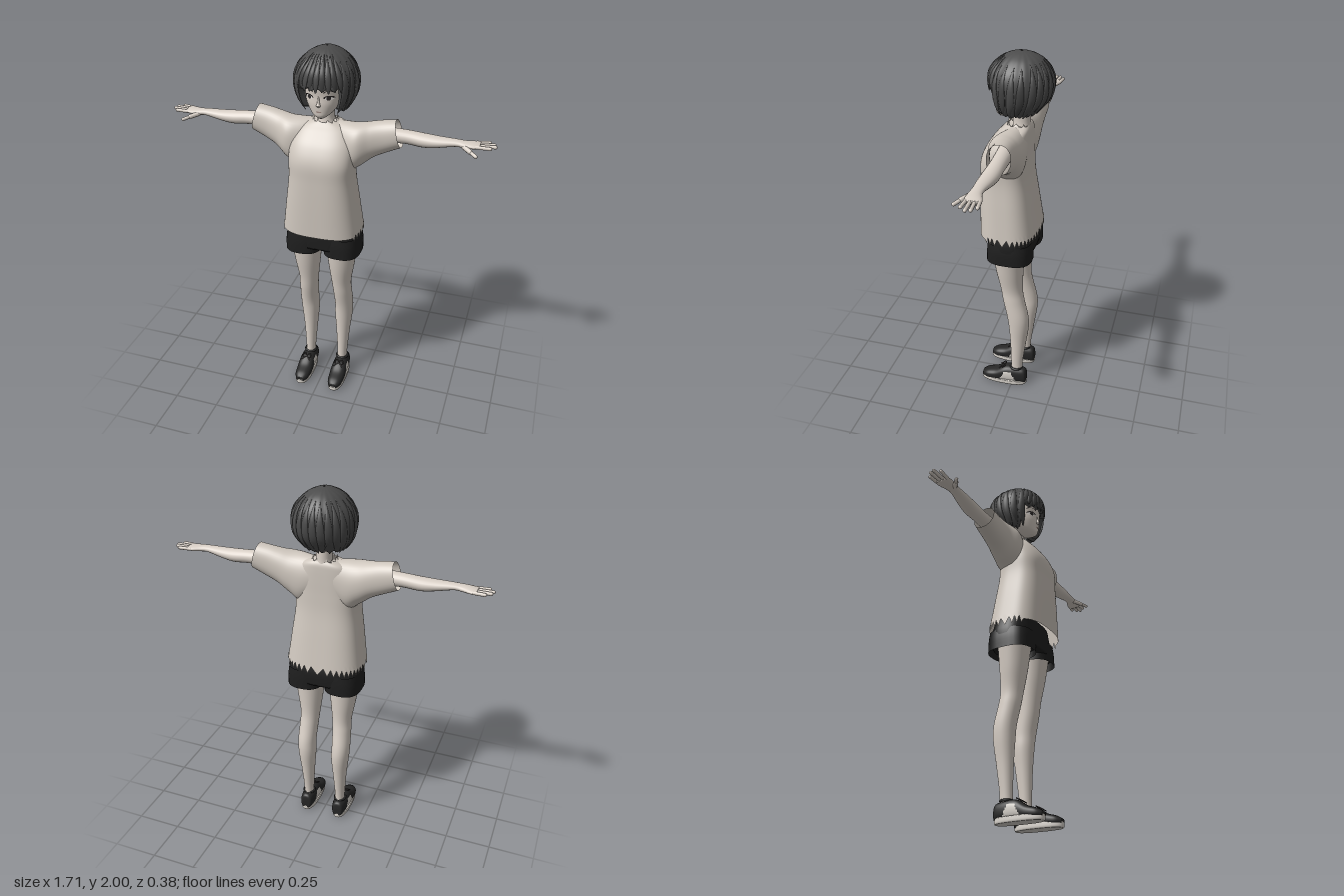
import * as THREE from 'three';

const material = (name, color, side = THREE.FrontSide) => {
  const m = new THREE.MeshStandardMaterial({ color, side });
  m.name = name;
  return m;
};

// Surface closed in u, from f(u, v, i) -> [x, y, z]; pick(x, y, z) chooses a material group
function grid(f, nu, nv, pick) {
  const pos = [], lists = [[], []];
  for (let j = 0; j <= nv; j++) for (let i = 0; i < nu; i++) pos.push(...f(i / nu, j / nv, i));
  for (let j = 0; j < nv; j++) for (let i = 0; i < nu; i++) {
    const k = (i + 1) % nu;
    const a = j * nu + i, b = a + nu, c = (j + 1) * nu + k, d = j * nu + k;
    const mid = [0, 1, 2].map(q => (pos[a * 3 + q] + pos[c * 3 + q]) / 2);
    lists[pick ? pick(...mid) : 0].push(a, b, c, a, c, d);
  }
  const g = new THREE.BufferGeometry();
  g.setAttribute('position', new THREE.Float32BufferAttribute(pos, 3));
  g.setIndex([...lists[0], ...lists[1]]);
  if (pick) {
    g.addGroup(0, lists[0].length, 0);
    g.addGroup(lists[0].length, lists[1].length, 1);
  }
  g.computeVertexNormals();
  return g;
}

// Smooth interpolation between cross-sections [t, u0, u1, w0, w1]
function section(rings, v) {
  const s = v * (rings.length - 1), i = Math.min(Math.floor(s), rings.length - 2), f = s - i;
  const r = k => rings[Math.max(0, Math.min(rings.length - 1, i + k))];
  return r(0).map((b, c) => {
    const a = r(-1)[c], d = r(1)[c], e = r(2)[c];
    return b + 0.5 * f * (d - a + f * (2 * a - 5 * b + 4 * d - e + f * (3 * (b - d) + e - a)));
  });
}
function findV(rings, t) {
  let lo = 0, hi = 1;
  for (let k = 0; k < 24; k++) {
    const m = (lo + hi) / 2;
    if (section(rings, m)[0] < t) lo = m; else hi = m;
  }
  return lo;
}
const power = (c, n) => Math.sign(c) * Math.abs(c) ** (2 / n);

// Loft of rounded cross-sections along an axis
function loft(rings, { axis = 'y', n = 2, nu = 32, nv = 32, cap = false, tweak, pick } = {}) {
  const e = cap ? 1 : 0, rows = nv + 2 * e;
  return grid((u, w, i) => {
    const row = Math.round(w * rows) - e, v = Math.max(0, Math.min(1, row / nv));
    const k = row < 0 || row > nv ? 0 : 1;
    const [t, u0, u1, w0, w1] = section(rings, v), a = u * Math.PI * 2;
    const p = (u0 + u1) / 2 + k * (u1 - u0) / 2 * power(Math.cos(a), n);
    const q = (w0 + w1) / 2 + k * (w1 - w0) / 2 * power(Math.sin(a), n);
    const out = axis === 'y' ? [p, t, q] : axis === 'x' ? [t, q, p] : [q, p, t];
    if (tweak) tweak(out, v, i);
    return out;
  }, nu, rows, pick);
}

function mirror(geo) {
  const g = geo.clone().scale(-1, 1, 1), ix = g.index.array;
  for (let i = 0; i < ix.length; i += 3) [ix[i], ix[i + 1]] = [ix[i + 1], ix[i]];
  return g;
}

function capsule(a, b, r) {
  const p = new THREE.Vector3(...a), q = new THREE.Vector3(...b), d = q.clone().sub(p);
  const g = new THREE.CapsuleGeometry(r, d.length(), 5, 10);
  g.applyQuaternion(new THREE.Quaternion().setFromUnitVectors(new THREE.Vector3(0, 1, 0), d.normalize()));
  return g.translate(...p.add(q).multiplyScalar(0.5).toArray());
}

export function createModel() {
  const model = new THREE.Group();
  model.name = 'girl';
  const skin = material('skin', 0xd8cfc6), cloth = material('shirt cloth', 0xcfc7be, THREE.DoubleSide);
  const black = material('shorts black', 0x1e1e1e, THREE.DoubleSide), shoe = material('shoe black', 0x262626);
  const sole = material('shoe white', 0xd6d1ca), hair = material('hair', 0x4c4c4c, THREE.DoubleSide);
  const strand = material('hair strands', 0x424242), ink = material('eye dark', 0x2e2a2a);
  const white = material('eye white', 0xe6e2de), lip = material('lips', 0xa8918a);
  const add = (name, geo, mat) => {
    const m = new THREE.Mesh(geo, mat);
    m.name = name;
    model.add(m);
  };
  const pair = (name, geo, mat) => {
    add('left ' + name, geo, mat);
    add('right ' + name, mirror(geo), mat);
  };

  // Head and neck
  const head = [[1.662, -.016, .016, .05, .088], [1.678, -.04, .04, .01, .103], [1.7, -.062, .062, -.03, .107],
    [1.74, -.086, .086, -.08, .111], [1.78, -.096, .096, -.11, .11], [1.84, -.1, .1, -.125, .115],
    [1.91, -.09, .09, -.11, .09], [1.95, -.04, .04, -.06, .03]];
  add('head', loft(head, { n: 2.15, nu: 40, nv: 40, cap: true }), skin);
  add('neck', loft([[1.54, -.07, .07, -.07, .03], [1.6, -.05, .05, -.073, .022], [1.64, -.04, .04, -.07, .016],
    [1.72, -.042, .042, -.07, .02]]), skin);
  add('nose', loft([[1.728, -.006, .006, .1, .112], [1.738, -.011, .011, .1, .126], [1.75, -.007, .007, .1, .12],
    [1.785, -.004, .004, .1, .11]], { cap: true, nu: 16, nv: 12 }), skin);

  // Face details laid on the face surface
  const onFace = (geo, x, y, off) => {
    const g = geo.translate(x, y, 0), p = g.attributes.position;
    for (let i = 0; i < p.count; i++) {
      const [, x0, x1, z0, z1] = section(head, findV(head, p.getY(i)));
      const s = Math.min(1, Math.abs(2 * p.getX(i) / (x1 - x0)));
      p.setZ(i, (z0 + z1) / 2 + (z1 - z0) / 2 * (1 - s ** 2.15) ** (1 / 2.15) + off);
    }
    g.computeVertexNormals();
    return g;
  };
  const disc = (w, h) => new THREE.CircleGeometry(1, 24).scale(w, h, 1);
  const arc = (w, h, inner) => new THREE.RingGeometry(inner, 1, 20, 1, 0.15, Math.PI - 0.3).scale(w, h, 1);
  pair('eye white', onFace(disc(.022, .011), .05, 1.777, .003), white);
  pair('iris', onFace(disc(.01, .011), .049, 1.777, .005), ink);
  pair('upper lash', onFace(arc(.026, .016, .7), .05, 1.775, .006), ink);
  pair('eyebrow', onFace(arc(.027, .012, .75), .05, 1.803, .004), ink);
  add('mouth', onFace(disc(.015, .0035), 0, 1.704, .004), lip);

  // Hair shell: long at sides and back, cut short over the face
  const bob = [[1.67, -.09, .09, -.085, .08], [1.72, -.13, .13, -.13, .11], [1.78, -.154, .154, -.172, .13],
    [1.85, -.158, .158, -.184, .139], [1.91, -.139, .139, -.17, .125], [1.96, -.094, .094, -.13, .08],
    [1.987, -.045, .045, -.08, .03], [1.997, -.004, .004, -.03, -.02]];
  const hairPoint = (a, v, off = 0, k = 1) => {
    const [y, x0, x1, z0, z1] = section(bob, v);
    return [k * ((x1 - x0) / 2 + off) * Math.cos(a), y, (z0 + z1) / 2 + k * ((z1 - z0) / 2 + off) * Math.sin(a)];
  };
  const fromFront = a => Math.abs(Math.atan2(Math.sin(a - Math.PI / 2), Math.cos(a - Math.PI / 2)));
  const hem = a => 1.825 - .125 * THREE.MathUtils.smoothstep(fromFront(a), .74, 1.0)
    + .014 * Math.abs(Math.sin(a * 9)) - .01;
  add('hair', grid((u, v) => {
    const a = u * Math.PI * 2, v0 = findV(bob, hem(a));
    if (v < .1) return hairPoint(a, v0, 0, .6 + 4 * v);
    const w = (v - .1) / .9;
    return hairPoint(a, v0 + (1 - v0) * w, .003 * Math.cos(a * 18) * (1 - w));
  }, 120, 40), hair);

  // Tapered locks lying over the shell
  const lock = (a0, width, top, tip, sway) => grid((u, v) => {
    const v0 = findV(bob, tip), v1 = findV(bob, top), t = u * Math.PI * 2;
    const w = width * Math.sin(Math.PI * Math.min(1, .02 + v * .96) ** .7);
    const a = a0 + sway * (1 - v) ** 2 + w * Math.sin(t);
    return hairPoint(a, v0 + (v1 - v0) * v, .001 + .007 * Math.cos(t) * Math.sin(Math.PI * (.05 + .9 * v)));
  }, 10, 14);
  for (let k = -4; k <= 4; k++)
    add('bang lock', lock(Math.PI / 2 + k * .17, .1, 1.975, 1.808 + .006 * (k & 1), k * .03 + .04), k & 1 ? strand : hair);
  for (let k = 0; k < 4; k++)
    pair('side lock', lock(.66 - k * .3, .13, 1.95, 1.69 + .008 * (k & 1), .06), k & 1 ? strand : hair);
  for (let k = -4; k <= 4; k++)
    add('back lock', lock(-Math.PI / 2 + k * .24, .13, 1.96, 1.685 + .01 * (k & 1), k * .02), hair);

  // Loose shirt with torn hem and collar
  add('shirt body', loft([[1.03, -.212, .212, -.133, .18], [1.2, -.19, .19, -.108, .18], [1.34, -.172, .172, -.088, .178],
    [1.44, -.172, .172, -.082, .174], [1.52, -.165, .165, -.08, .14], [1.58, -.14, .14, -.078, .092],
    [1.61, -.11, .11, -.075, .062], [1.63, -.058, .058, -.065, .042]], {
    n: 2.8, nu: 80, nv: 42, tweak: (p, v, i) => {
      if (v === 0 && p[2] < .12) p[1] += i % 2 ? .022 : -.022;
      if (v === 1) p[1] += .03 * Math.abs(i % 8 - 4) / 4 - .018;
    } }), cloth);
  pair('sleeve', loft([[.04, -.075, .045, 1.45, 1.625], [.12, -.08, .09, 1.37, 1.63], [.18, -.08, .1, 1.405, 1.632],
    [.24, -.077, .07, 1.455, 1.64], [.3, -.075, .052, 1.487, 1.65], [.378, -.075, .045, 1.522, 1.66]], {
    axis: 'x', n: 2.2, nu: 40, tweak: (p, v) => { p[0] -= (p[1] - 1.59) * .25 * v * v; } }), cloth);

  // Arms and hands
  pair('arm', loft([[.22, -.06, .03, 1.53, 1.62], [.4, -.06, .02, 1.543, 1.613], [.5, -.06, .025, 1.537, 1.606],
    [.57, -.053, .025, 1.546, 1.602], [.66, -.04, .018, 1.565, 1.6], [.7, -.042, .022, 1.564, 1.597],
    [.745, -.058, .024, 1.565, 1.594], [.775, -.06, .018, 1.57, 1.59]], { axis: 'x', nu: 24, cap: true }), skin);
  [[-.05, .815, -.058], [-.029, .84, -.036], [-.009, .847, -.013], [.011, .825, .014]].forEach(([z, x, tip]) =>
    pair('finger', capsule([.755, 1.58, z], [x, 1.582, tip], .009), skin));
  pair('thumb', capsule([.7, 1.575, .012], [.735, 1.566, .042], .012), skin);
  pair('thumb tip', capsule([.735, 1.566, .042], [.766, 1.556, .066], .009), skin);

  // Shorts
  add('shorts hips', loft([[.925, -.205, .205, -.113, .128], [1, -.203, .203, -.115, .128], [1.08, -.18, .18, -.095, .12]],
    { n: 2.6, nu: 48, nv: 10, cap: true }), black);
  pair('shorts leg', loft([[.887, .006, .208, -.115, .132], [.95, .002, .207, -.114, .13], [1, 0, .2, -.11, .125]],
    { n: 2.7, nv: 8 }), black);

  // Legs
  pair('leg', loft([[.07, .072, .125, -.06, .01], [.15, .07, .127, -.06, .008], [.3, .06, .138, -.08, .012],
    [.42, .051, .151, -.096, .02], [.5, .052, .155, -.093, .03], [.6, .047, .152, -.07, .052],
    [.68, .04, .151, -.058, .066], [.8, .026, .17, -.062, .09], [.94, .012, .19, -.07, .11]], { nv: 48 }), skin);

  // Two-tone laced shoes
  pair('shoe sole', loft([[0, .058, .144, -.082, .18], [.008, .054, .148, -.086, .185], [.03, .055, .147, -.085, .183]],
    { n: 2.5, nv: 6, cap: true }), sole);
  pair('shoe upper', loft([[-.084, .015, .065, .08, .12], [-.076, .008, .1, .068, .132], [-.04, .006, .11, .06, .14],
    [.01, .006, .115, .057, .144], [.05, .006, .108, .056, .146], [.1, .006, .078, .056, .146],
    [.15, .008, .062, .062, .14], [.18, .015, .045, .08, .122]], {
    axis: 'z', n: 2.4, nu: 40, nv: 48, cap: true,
    pick: (x, y, z) => y < .085 && z > -.04 + y * .5 && z < .085 - y * .5 ? 1 : 0 }), [shoe, sole]);
  pair('shoe collar', new THREE.TorusGeometry(.031, .007, 8, 24).rotateX(Math.PI / 2).translate(.099, .112, -.022), shoe);
  for (const s of [-1, 1]) {
    pair('lace loop', new THREE.TorusGeometry(.012, .003, 6, 16).rotateX(-1).translate(.101 + s * .014, .112, .052), ink);
    pair('lace end', capsule([.101, .112, .055], [.101 + s * .024, .098, .075], .003), ink);
  }
  return model;
}
